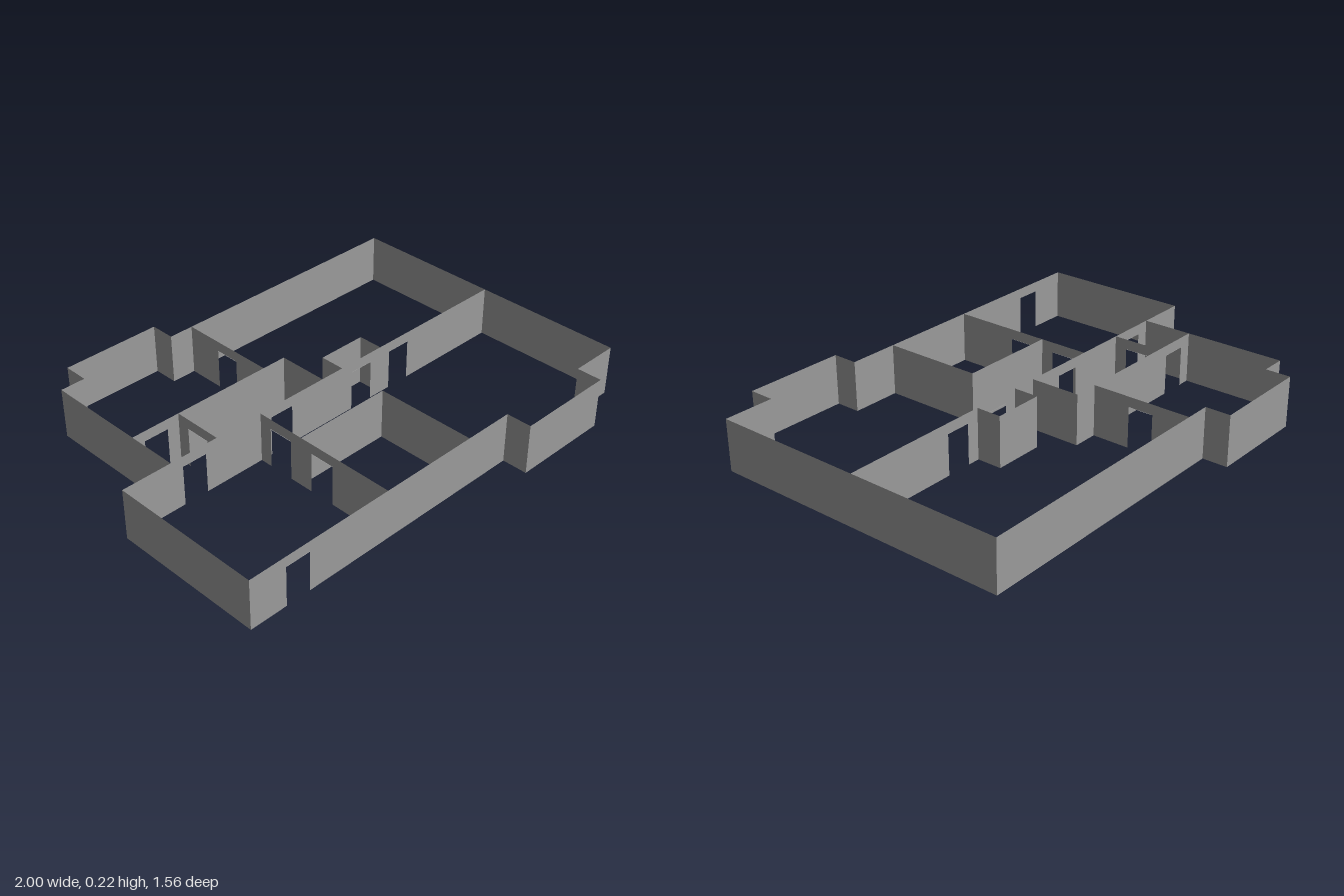
import * as THREE from 'three';

const U = 1 / 9;          // plan module
const WALL_H = 2 * U;
const DOOR_H = 1.6 * U;
const DOOR_W = U;
const SOFFIT_D = 0.004;   // depth of the strip under each door head

const material = new THREE.MeshStandardMaterial({ color: 0x9b9b9b, side: THREE.DoubleSide, flatShading: true });

// Thin upright wall from a to b (plan points in modules); doors are centre distances from a
function wall(name, [ax, az], [bx, bz], doors = []) {
  const group = new THREE.Group();
  group.name = name;
  const length = Math.hypot(bx - ax, bz - az) * U;
  const s = new THREE.Shape();
  s.moveTo(0, 0);
  for (const d of doors) {
    const l = d * U - DOOR_W / 2, r = d * U + DOOR_W / 2;
    s.lineTo(l, 0).lineTo(l, DOOR_H).lineTo(r, DOOR_H).lineTo(r, 0);
    const soffit = new THREE.Mesh(new THREE.PlaneGeometry(DOOR_W, SOFFIT_D), material);
    soffit.name = 'doorSoffit';
    soffit.rotation.x = Math.PI / 2;
    soffit.position.set(d * U, DOOR_H, 0);
    group.add(soffit);
  }
  s.lineTo(length, 0).lineTo(length, WALL_H).lineTo(0, WALL_H).closePath();
  const panel = new THREE.Mesh(new THREE.ShapeGeometry(s), material);
  panel.name = 'wallPanel';
  group.add(panel);
  group.position.set(ax * U, 0, az * U);
  group.rotation.y = -Math.atan2(bz - az, bx - ax);
  return group;
}

export function createModel() {
  const model = new THREE.Group();
  model.name = 'floorPlanWalls';

  // Outer walls: closed outline with a shallow bay at the front and at the back
  const outer = new THREE.Group();
  outer.name = 'outerWalls';
  const outline = [
    [-9, 6], [3, 6], [3, 7], [7, 7], [7, 6], [9, 6], [9, -6], [-2, -6],
    [-2, -7], [-6, -7], [-6, -6], [-7, -6], [-7, 0], [-9, 0],
  ];
  outline.forEach((p, i) => {
    const q = outline[(i + 1) % outline.length];
    // The first wall, at the front, holds the entrance door;
    // the run from [-7, 0] to [-9, 0] belongs to the spine wall below
    if (i === 0) outer.add(wall('entranceWall', p, q, [2]));
    else if (i !== 12) outer.add(wall('outerWall', p, q));
  });

  // Inner walls
  const inner = new THREE.Group();
  inner.name = 'innerWalls';
  inner.add(
    wall('spineWall', [-9, 0], [9, 0], [3, 7, 11, 13]),
    wall('hallWall', [-3, 0], [-3, 6], [1, 3]),
    wall('frontRoomBackWall', [-3, 2], [1, 2]),
    wall('frontRoomSideWall', [1, 2], [1, 6]),
    wall('corridorWall', [-7, -2], [0, -2], [1]),
    wall('corridorEndWall', [0, -2], [0, 0]),
    wall('corridorPartition', [-5, -2], [-5, 0], [1]),
    wall('backRoomSideWall', [-1, -6], [-1, -2], [2]),
    wall('closetSideWall', [1, 0], [1, -1]),
    wall('closetBackWall', [1, -1], [3, -1]),
    wall('closetSideWall', [3, -1], [3, 0]),
  );

  model.add(outer, inner);
  return model;
}
